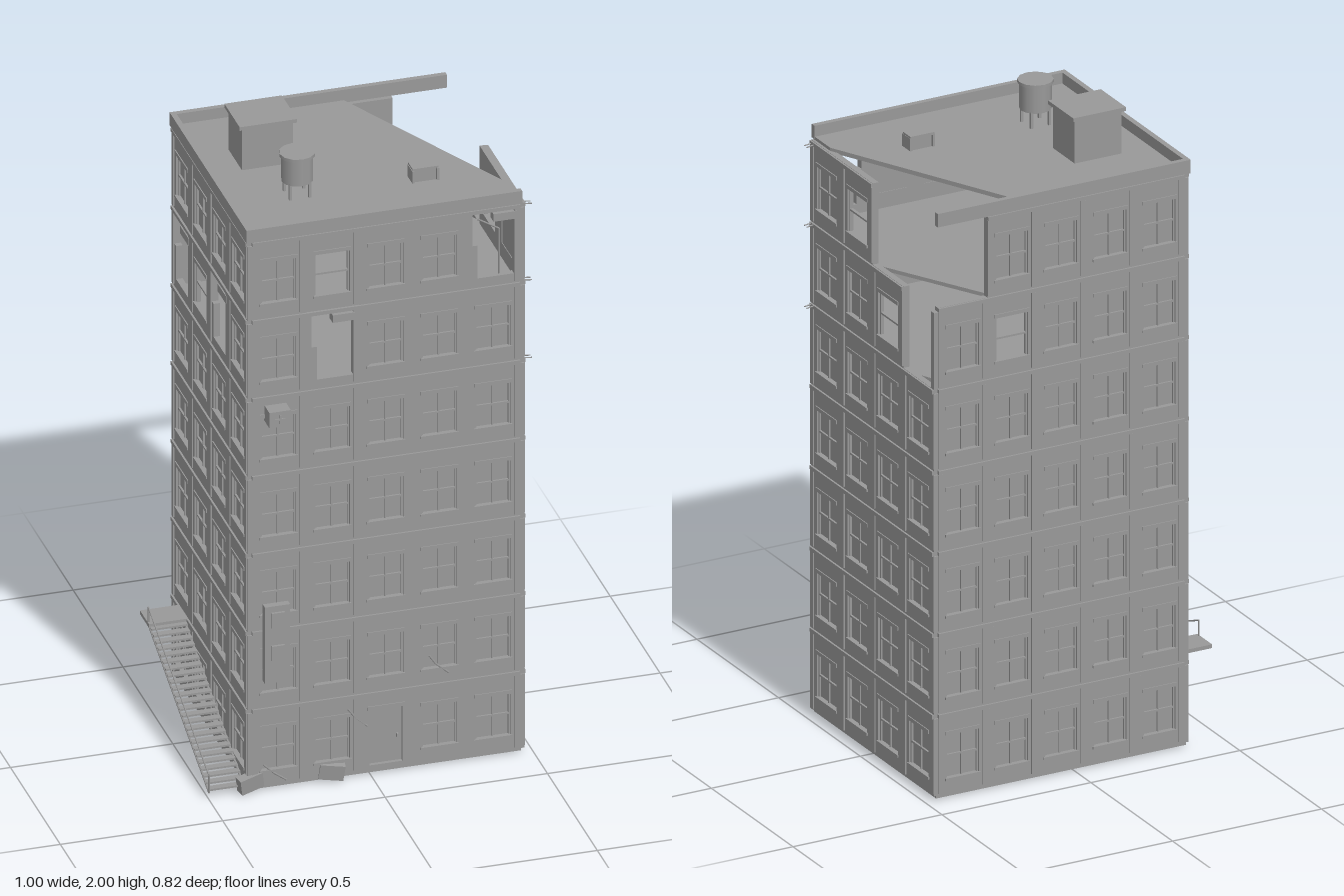
import * as THREE from 'three';

const concrete = new THREE.MeshStandardMaterial({ color: 0x999999 });
concrete.name = 'concrete grey';

const FLOORS = 7, BASE = 0.02, H = 0.26;
const X0 = -0.378, X1 = 0.472, Z0 = -0.403, Z1 = 0.354;
const CX = (X0 + X1) / 2, CZ = (Z0 + Z1) / 2;

function add(parent, name, geo, x = 0, y = 0, z = 0) {
  const m = new THREE.Mesh(geo, concrete);
  m.name = name;
  m.position.set(x, y, z);
  parent.add(m);
  return m;
}
const box = (parent, name, w, h, d, x, y, z) => add(parent, name, new THREE.BoxGeometry(w, h, d), x, y, z);
// box given by its minimum and maximum corners
const span = (parent, name, x0, x1, y0, y1, z0, z1) =>
  box(parent, name, x1 - x0, y1 - y0, z1 - z0, (x0 + x1) / 2, (y0 + y1) / 2, (z0 + z1) / 2);

// bar between two points
function rod(parent, name, a, b, r = 0.003) {
  const p = new THREE.Vector3(...a), q = new THREE.Vector3(...b);
  const m = add(parent, name, new THREE.CylinderGeometry(r, r, p.distanceTo(q), 5));
  m.position.copy(p).add(q).multiplyScalar(0.5);
  m.quaternion.setFromUnitVectors(new THREE.Vector3(0, 1, 0), q.sub(p).normalize());
  return m;
}

// flat horizontal slab from [x, z] corners
function slab(parent, name, pts, top, t) {
  const shape = new THREE.Shape(pts.map(([x, z]) => new THREE.Vector2(x, -z)));
  const geo = new THREE.ExtrudeGeometry(shape, { depth: t, bevelEnabled: false });
  geo.rotateX(-Math.PI / 2);
  return add(parent, name, geo, 0, top - t, 0);
}

// one storey-high bay, outer face at z = 0, standing on y = 0
function makeBay(kind, w, winW) {
  const g = new THREE.Group();
  g.name = kind + 'Bay';
  const h = w / 2, wh = winW / 2, lo = kind === 'door' ? 0.015 : 0.05, hi = kind === 'door' ? 0.2 : 0.188;
  span(g, 'floorBand', -h, h, H - 0.013, H - 0.001, -0.02, 0.006);
  for (const s of [-1, 1]) box(g, 'pilaster', 0.018, H - 0.02, 0.024, s * (h - 0.009), H / 2 - 0.004, -0.008);
  if (kind === 'broken') {
    // ragged remains around a blown-out bay
    span(g, 'brokenSill', -h, h, 0, 0.03, -0.02, 0);
    span(g, 'brokenEdge', -h + 0.01, -h + 0.035, 0.03, 0.14, -0.02, 0);
    span(g, 'hangingChunk', 0, h - 0.01, 0.215, 0.24, -0.025, 0.006);
    return g;
  }
  const wall = new THREE.Shape([[-h, 0], [h, 0], [h, H], [-h, H]].map(p => new THREE.Vector2(...p)));
  wall.holes.push(new THREE.Path([[-wh, lo], [-wh, hi], [wh, hi], [wh, lo]].map(p => new THREE.Vector2(...p))));
  add(g, 'wallPanel', new THREE.ExtrudeGeometry(wall, { depth: 0.02, bevelEnabled: false }), 0, 0, -0.02);
  if (kind !== 'empty') span(g, 'pane', -wh, wh, lo, hi, -0.018, -0.012);
  span(g, 'lintel', -wh - 0.004, wh + 0.004, hi, hi + 0.012, -0.01, 0.003);
  if (kind === 'door') {
    for (const s of [-1, 1]) box(g, 'doorJamb', 0.006, hi - lo, 0.014, s * wh, (lo + hi) / 2, -0.004);
    box(g, 'doorHandle', 0.006, 0.012, 0.012, wh - 0.016, 0.1, -0.008);
    return g;
  }
  span(g, 'sill', -wh - 0.005, wh + 0.005, lo - 0.008, lo, -0.01, 0.004);
  box(g, 'meetingRail', winW, 0.006, 0.01, 0, (lo + hi) / 2, -0.011);
  if (kind !== 'empty') box(g, 'mullion', 0.005, hi - lo, 0.008, 0, (lo + hi) / 2, -0.011);
  for (const s of [-1, 1]) box(g, 'sashSide', 0.005, hi - lo, 0.01, s * (wh - 0.0025), (lo + hi) / 2, -0.011);
  return g;
}

// whole facade; exceptions are keyed "floor,column" from the lower left
function makeFacade(name, cols, pitch, winW, exceptions) {
  const g = new THREE.Group();
  g.name = name;
  const proto = {};
  for (let f = 0; f < FLOORS; f++) for (let c = 0; c < cols; c++) {
    const kind = exceptions[f + ',' + c] ?? 'window';
    if (kind === 'missing') continue;
    proto[kind] ??= makeBay(kind, pitch, winW);
    const bay = proto[kind].clone();
    bay.position.set((c - (cols - 1) / 2) * pitch, BASE + f * H, 0);
    g.add(bay);
  }
  return g;
}

export function createModel() {
  const model = new THREE.Group();
  model.name = 'ruinedApartmentBlock';

  // facades
  const place = (g, x, z, ry) => { g.position.set(x, 0, z); g.rotation.y = ry; model.add(g); };
  const Q = Math.PI / 2;
  place(makeFacade('frontFacade', 5, 0.165, 0.108, { '0,2': 'door', '5,1': 'broken', '6,4': 'broken', '6,1': 'empty' }), CX, Z1, 0);
  place(makeFacade('leftFacade', 4, 0.188, 0.12,
    { '6,1': 'empty', '6,2': 'missing', '6,3': 'missing', '5,2': 'empty', '5,3': 'missing' }), X1, CZ, Q);
  place(makeFacade('backFacade', 5, 0.165, 0.108, { '6,0': 'missing', '5,1': 'empty' }), CX, Z0, 2 * Q);
  place(makeFacade('rightFacade', 4, 0.188, 0.12, { '5,0': 'broken', '5,1': 'empty', '5,2': 'broken' }), X0, CZ, -Q);

  // corner posts, one per storey
  for (let f = 0; f < FLOORS; f++) for (const x of [X0, X1]) for (const z of [Z0, Z1]) {
    if (f === 6 && x === X1 && z === Z0) continue;
    const sx = Math.sign(x), sz = Math.sign(z);
    box(model, 'cornerPost', 0.02, H - 0.014, 0.02, x - sx * 0.008, BASE + f * H + H / 2 - 0.006, z - sz * 0.008);
  }

  // floors: upper ones have lost their back left corner
  const a = X0 + 0.004, b = X1 - 0.008, c = Z0 + 0.004, d = Z1 - 0.004;
  const floorPlan = (cutX, cutZ) => [[a, d], [b, d], [b, cutZ], [cutX, c], [a, c]];
  slab(model, 'groundSlab', [[a, d], [b, d], [b, c], [a, c]], BASE + 0.004, 0.014);
  for (let f = 1; f < 5; f++) slab(model, 'floorSlab', [[a, d], [b, d], [b, c], [a, c]], BASE + f * H, 0.012);
  slab(model, 'sixthFloor', floorPlan(0.4, -0.26), BASE + 5 * H, 0.012);
  slab(model, 'seventhFloor', floorPlan(0.27, -0.03), BASE + 6 * H, 0.012);
  slab(model, 'roof', floorPlan(0.145, 0.25), 1.85, 0.014);

  // cornice
  span(model, 'frontCornice', -0.383, 0.465, 1.842, 1.885, 0.344, 0.361);
  span(model, 'backCornice', -0.383, 0.465, 1.842, 1.885, -0.411, -0.394);
  span(model, 'rightCornice', -0.384, -0.367, 1.842, 1.885, -0.411, 0.361);

  // roof stair house
  span(model, 'stairHouse', -0.267, -0.11, 1.85, 1.99, -0.2, -0.066);
  span(model, 'stairHouseCap', -0.277, -0.1, 1.988, 2, -0.21, -0.056);

  // water tank
  const tank = new THREE.Group();
  tank.name = 'waterTank';
  tank.position.set(-0.155, 0, 0.122);
  model.add(tank);
  add(tank, 'tankBody', new THREE.CylinderGeometry(0.048, 0.048, 0.085, 12), 0, 1.942, 0);
  add(tank, 'tankLid', new THREE.CylinderGeometry(0.054, 0.054, 0.01, 12), 0, 1.987, 0);
  for (const sx of [-1, 1]) for (const sz of [-1, 1]) box(tank, 'tankLeg', 0.008, 0.055, 0.008, sx * 0.03, 1.875, sz * 0.03);

  // roof vent
  span(model, 'ventBox', 0.197, 0.262, 1.85, 1.89, 0.116, 0.155);
  span(model, 'ventHood', 0.19, 0.27, 1.888, 1.896, 0.112, 0.158);
  for (const x of [0.188, 0.264]) span(model, 'ventSide', x, x + 0.007, 1.85, 1.89, 0.112, 0.162);

  // outside stair on the right wall
  span(model, 'stairLanding', -0.5, -0.382, 0.268, 0.28, -0.33, -0.24);
  const steps = 25;
  for (let i = 0; i < steps; i++) {
    const t = i / (steps - 1);
    box(model, 'step', 0.112, 0.006, 0.022, -0.441, 0.268 - t * 0.24, -0.235 + t * 0.575);
  }
  for (const x of [-0.496, -0.388]) {
    rod(model, 'stringer', [x, 0.268, -0.245], [x, 0.024, 0.35], 0.004);
  }
  rod(model, 'landingPost', [-0.497, 0.27, -0.255], [-0.497, 0.33, -0.255], 0.0025);
  rod(model, 'handrail', [-0.497, 0.33, -0.255], [-0.497, 0.08, 0.352], 0.0025);
  rod(model, 'handrailPost', [-0.497, 0.02, 0.352], [-0.497, 0.08, 0.352], 0.0025);

  // projecting wall board
  span(model, 'wallBoard', -0.34, -0.262, 0.385, 0.64, 0.38, 0.402);
  for (const y of [0.46, 0.57]) span(model, 'boardBracket', -0.32, -0.28, y, y + 0.05, 0.35, 0.41);

  // air conditioner with fan
  span(model, 'airConditioner', -0.326, -0.26, 1.237, 1.288, 0.345, 0.402);
  for (const r of [0, Q]) box(model, 'fanBlade', 0.03, 0.006, 0.004, -0.293, 1.262, 0.404).rotation.z = r;

  // exposed reinforcement at the front left corner
  for (const y of [1.32, 1.58, 1.835]) for (const z of [0.328, 0.343]) rod(model, 'rebar', [0.45, y, z], [0.5, y - 0.006, z], 0.002);
  rod(model, 'bentRebar', [0.335, 1.8, 0.34], [0.4, 1.76, 0.34]);
  rod(model, 'bentRebar', [0.4, 1.76, 0.34], [0.4, 1.61, 0.34]);

  // rubble at the foot of the wall
  for (const [x, z, r] of [[-0.37, 0.35, 0.15], [-0.12, 0.352, -0.12]]) {
    const m = box(model, 'rubble', 0.075, 0.05, 0.03, x, 0.036, z);
    m.rotation.set(0.1, r * 1.5, r);
  }

  // cracks in the front wall
  const cracks = [[[0.18, 0.375], [0.2, 0.345], [0.24, 0.31]], [[-0.07, 0.235], [-0.045, 0.2], [-0.01, 0.17]], [[-0.33, 0.09], [-0.3, 0.06], [-0.26, 0.03]]];
  for (const pts of cracks) for (let i = 0; i < 2; i++) {
    rod(model, 'crack', [...pts[i], Z1 + 0.002], [...pts[i + 1], Z1 + 0.002], 0.003);
  }
  return model;
}
